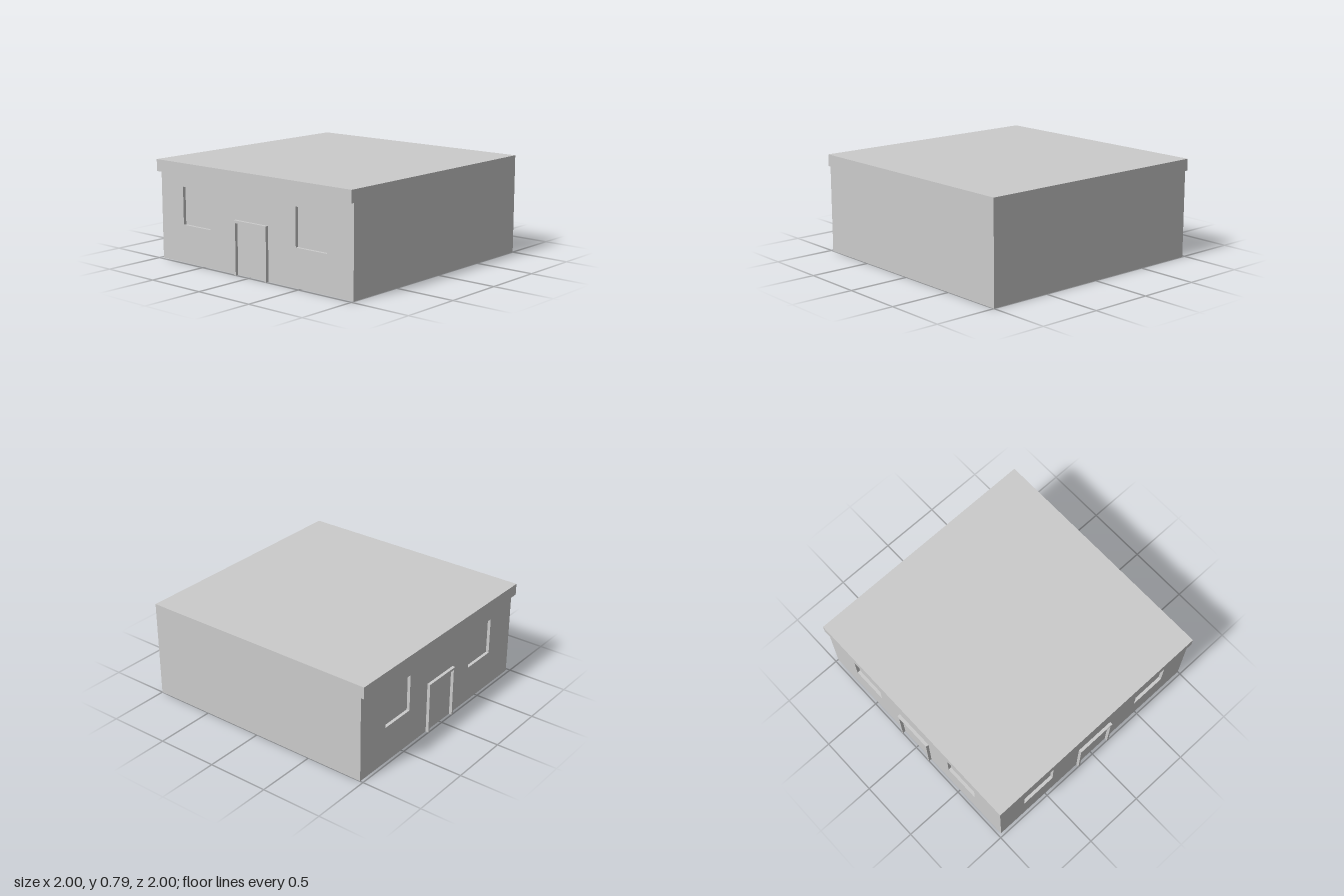
import * as THREE from 'three';

const H = 0.79, EAVE = 0.695, REVEAL = 0.025;
const WALL = 2 - REVEAL; // length of each wall below the overhang
const material = new THREE.MeshStandardMaterial({ color: 0xcccccc, side: THREE.DoubleSide, flatShading: true });

function add(parent, name, geometry, x = 0, y = 0, z = 0) {
  const mesh = new THREE.Mesh(geometry, material);
  mesh.name = name;
  mesh.position.set(x, y, z);
  parent.add(mesh);
  return mesh;
}

// Box missing one face (0..5 = +x, -x, +y, -y, +z, -z)
function openBox(w, h, d, face) {
  const g = new THREE.BoxGeometry(w, h, d);
  const index = Array.from(g.index.array);
  index.splice(face * 6, 6);
  g.setIndex(index);
  g.clearGroups();
  return g;
}

function rectangle(PathType, x0, y0, x1, y1) {
  return new PathType([[x0, y0], [x1, y0], [x1, y1], [x0, y1]].map(p => new THREE.Vector2(...p)));
}

// Thin wall with two recessed windows and a framed door, facing +z
function createFacade(name, windowX) {
  const facade = new THREE.Group();
  facade.name = name;
  const size = 0.3, bottom = 0.3;

  const wall = rectangle(THREE.Shape, -WALL / 2, 0, WALL / 2, EAVE);
  for (const x of [-windowX, windowX]) {
    wall.holes.push(rectangle(THREE.Path, x - size / 2, bottom, x + size / 2, bottom + size));
    add(facade, 'windowRecess', openBox(size, size, REVEAL, 4), x, bottom + size / 2, -REVEAL / 2);
  }
  add(facade, 'wall', new THREE.ShapeGeometry(wall));

  // Door frame standing proud of the wall on both sides
  const outer = 0.1675, inner = 0.15, top = 0.42, head = 0.4;
  const frame = new THREE.Shape([
    [-outer, 0], [-inner, 0], [-inner, head], [inner, head],
    [inner, 0], [outer, 0], [outer, top], [-outer, top],
  ].map(p => new THREE.Vector2(...p)));
  const frameGeometry = new THREE.ExtrudeGeometry(frame, { depth: 2 * REVEAL, bevelEnabled: false });
  add(facade, 'doorFrame', frameGeometry, 0, 0, -REVEAL);
  return facade;
}

export function createModel() {
  const model = new THREE.Group();
  model.name = 'house';

  // Facades set back under the roof edge
  const front = createFacade('frontFacade', 0.5925);
  front.position.set(REVEAL / 2, 0, 1 - REVEAL);
  const side = createFacade('sideFacade', 0.5425);
  side.position.set(-1 + REVEAL, 0, -REVEAL / 2);
  side.rotation.y = -Math.PI / 2;
  model.add(front, side);

  // Plain walls
  const plain = new THREE.PlaneGeometry(WALL, EAVE);
  add(model, 'backWall', plain, REVEAL / 2, EAVE / 2, -1).rotation.y = Math.PI;
  add(model, 'plainSideWall', plain, 1, EAVE / 2, -REVEAL / 2).rotation.y = Math.PI / 2;

  // Roof slab, hollow underneath, with narrow soffits over the facades
  add(model, 'roof', openBox(2, H - EAVE, 2, 3), 0, (H + EAVE) / 2, 0);
  const soffit = (name, w, d, x, z) => {
    add(model, name, new THREE.PlaneGeometry(w, d), x, EAVE, z).rotation.x = Math.PI / 2;
  };
  soffit('frontSoffit', 2, REVEAL, 0, 1 - REVEAL / 2);
  soffit('sideSoffit', REVEAL, WALL, -1 + REVEAL / 2, -REVEAL / 2);

  return model;
}
